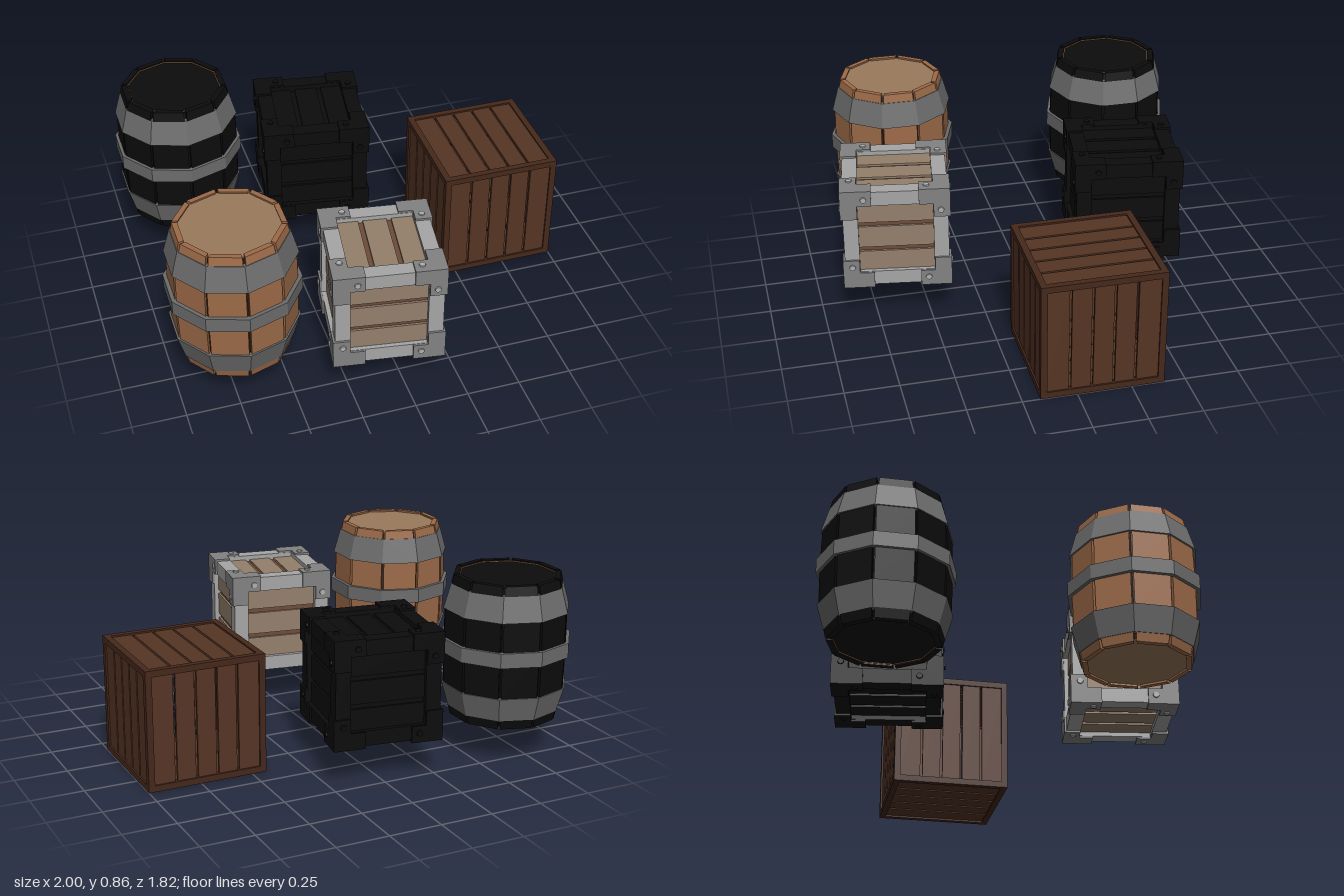
import * as THREE from 'three';

const mat = (color) => new THREE.MeshStandardMaterial({ color, flatShading: true });
const C = {
  stave: mat(0x9c6a48), lid: mat(0x9a7b5c), groove: mat(0x3a2418), band: mat(0x6c6c6c),
  board: mat(0x94806c), gap: mat(0x6e4c3a), rail: mat(0xa6a6a6), corner: mat(0x828282),
  bolt: mat(0xb0b0b0), slat: mat(0x563525), frame: mat(0x46281b), black: mat(0x0c0c0c),
};

function add(parent, name, geometry, material, x = 0, y = 0, z = 0) {
  const m = new THREE.Mesh(geometry, material);
  m.name = name;
  m.position.set(x, y, z);
  parent.add(m);
  return m;
}

const box = (w, h, d) => new THREE.BoxGeometry(w, h, d);

// Joins four-cornered cross-sections, listed from bottom to top, into a closed solid
function loft(sections) {
  const pos = [], idx = [], n = sections.length;
  sections.forEach((s) => s.forEach((p) => pos.push(...p)));
  for (let s = 0; s < n - 1; s++) {
    for (let k = 0; k < 4; k++) {
      const a = s * 4 + k, b = s * 4 + (k + 1) % 4;
      idx.push(a, b, b + 4, a, b + 4, a + 4);
    }
  }
  const t = (n - 1) * 4;
  idx.push(0, 2, 1, 0, 3, 2, t, t + 1, t + 2, t, t + 2, t + 3);
  const g = new THREE.BufferGeometry();
  g.setAttribute('position', new THREE.Float32BufferAttribute(pos, 3));
  g.setIndex(idx);
  const flat = g.toNonIndexed();
  flat.computeVertexNormals();
  return flat;
}

const SIDES = 10;
// Half-profile of the bulging staves: height, corner radius
const PROFILE = [[-0.34, 0.25], [-0.18, 0.287], [0, 0.291], [0.18, 0.287], [0.34, 0.25]];

const lathe = (pts) =>
  new THREE.LatheGeometry(pts.map(([r, y]) => new THREE.Vector2(r, y)), SIDES);

// Metal hoop between two heights with its own thickness
const hoop = (y0, r0, y1, r1, t = 0.025) =>
  lathe([[r0 - t, y0], [r0, y0], [r1, y1], [r1 - t, y1], [r0 - t, y0]]);

function barrel(name, dark) {
  const g = new THREE.Group();
  g.name = name;
  const staveMat = dark ? C.black : C.stave;
  const grow = dark ? 0.003 : 0;

  // Ten staves with narrow gaps at the corners
  for (let i = 0; i < SIDES; i++) {
    const a0 = (i / SIDES) * Math.PI * 2, a1 = ((i + 1) / SIDES) * Math.PI * 2;
    const at = (a, r, y, gap) => [
      Math.sin(a) * r + Math.cos(a) * gap, y, Math.cos(a) * r - Math.sin(a) * gap];
    add(g, 'stave', loft(PROFILE.map(([y, r]) => {
      const o = r + grow, n = r - 0.026;
      return [at(a0, o, y, 0.006), at(a1, o, y, -0.006), at(a1, n, y, -0.006), at(a0, n, y, 0.006)];
    })), staveMat);
  }

  // Dark core behind the gaps, and lids set slightly into both ends
  const core = PROFILE.map(([y, r]) => [r - 0.014, y * 0.96]);
  add(g, 'core', lathe(core), dark ? C.black : C.groove);
  for (const s of [-1, 1]) {
    add(g, 'lid', new THREE.CylinderGeometry(0.234, 0.234, 0.03, SIDES), dark ? C.black : C.lid, 0, s * 0.315, 0);
    if (dark) add(g, 'rimLine', hoop(-0.004, 0.228, 0.004, 0.228, 0.004), C.stave, 0, s * 0.329, 0);
  }

  // Two sloped hoops and the proud middle hoop
  add(g, 'upperHoop', hoop(0.18, 0.298, 0.3, 0.264), C.band);
  add(g, 'lowerHoop', hoop(-0.3, 0.264, -0.18, 0.298), C.band);
  add(g, 'middleHoop', hoop(-0.027, 0.31, 0.043, 0.31), C.band);
  return g;
}

// Runs build(face, isEnd) on six groups whose local +z points out of each cube side
function sixFaces(parent, build) {
  const q = Math.PI / 2;
  [[0, 0], [0, q], [0, 2 * q], [0, -q], [-q, 0], [q, 0]].forEach(([rx, ry], i) => {
    const f = new THREE.Group();
    f.name = 'side';
    f.rotation.set(rx, ry, 0);
    parent.add(f);
    build(f, i > 3);
  });
}

// Runs fn(axis, s, t) for the twelve cube edges
function twelveEdges(fn) {
  for (let axis = 0; axis < 3; axis++)
    for (const s of [-1, 1]) for (const t of [-1, 1]) fn(axis, s, t);
}

// Bar along an axis; u and v are its offsets on the other two axes
function bar(parent, name, material, axis, len, thick, along, u, v) {
  const size = [thick, thick, thick], p = [0, 0, 0];
  size[axis] = len;
  p[axis] = along;
  p[(axis + 1) % 3] = u;
  p[(axis + 2) % 3] = v;
  return add(parent, name, box(...size), material, ...p);
}

function reinforcedCrate(name, dark) {
  const g = new THREE.Group();
  g.name = name;
  const pick = (m) => (dark ? C.black : m);
  const H = 0.254;
  add(g, 'innerBox', box(0.425, 0.425, 0.425), pick(C.gap));

  // Rails along the edges, with metal arms wrapping every corner
  twelveEdges((axis, s, t) => {
    const r = H - 0.01 - 0.035;
    bar(g, 'edgeRail', pick(C.rail), axis, 0.44, 0.07, 0, s * r, t * r);
    const c = H - 0.039;
    for (const e of [-1, 1])
      bar(g, 'cornerArm', pick(C.corner), axis, 0.145, 0.078, e * (H - 0.0725), s * c, t * c);
  });

  // Three boards per side, and a bolt on each corner
  sixFaces(g, (f, isEnd) => {
    for (const k of [-1, 0, 1]) {
      const b = add(f, 'board', box(0.37, 0.108, 0.02), pick(C.board), isEnd ? k * 0.13 : 0, isEnd ? 0 : k * 0.13, 0.213);
      if (isEnd) b.rotation.z = Math.PI / 2;
    }
    for (let k = 0; k < 4; k++) {
      const a = k * Math.PI / 2, x = -0.145, y = 0.21;
      const bolt = add(f, 'bolt', new THREE.CylinderGeometry(0.014, 0.016, 0.01, 8), pick(C.bolt),
        x * Math.cos(a) - y * Math.sin(a), x * Math.sin(a) + y * Math.cos(a), H + 0.001);
      bolt.rotation.x = Math.PI / 2;
    }
  });
  if (dark) g.scale.setScalar(1.015);
  return g;
}

function slattedCrate() {
  const g = new THREE.Group();
  g.name = 'slattedCrate';
  const H = 0.285, T = 0.03;
  twelveEdges((axis, s, t) =>
    bar(g, 'frameBeam', C.frame, axis, 2 * H, T, 0, s * (H - T / 2), t * (H - T / 2)));
  // Five slats per side with open gaps; the outer two reach under the frame
  sixFaces(g, (f) => {
    for (let k = -2; k <= 2; k++) {
      const w = Math.abs(k) === 2 ? 0.105 : 0.089;
      add(f, 'slat', box(w, 0.52, 0.014), C.slat, k * 0.1 + Math.sign(k) * (w - 0.089) / 2, 0, H - 0.015);
    }
  });
  return g;
}

export function createModel() {
  const model = new THREE.Group();
  model.name = 'barrelsAndCrates';
  const place = (o, x, y, z, turn = 0) => {
    o.position.set(x, y, z);
    o.rotation.y = turn;
    model.add(o);
  };
  place(barrel('woodenBarrel', false), -0.705, 0.518, 0.52);
  place(barrel('blackBarrel', true), -0.705, 0.52, -0.605);
  place(reinforcedCrate('reinforcedCrate', false), -0.048, 0.433, 0.618, -0.15);
  place(reinforcedCrate('blackCrate', true), -0.05, 0.433, -0.502, -0.15);
  place(slattedCrate(), 0.715, 0.285, -0.117);
  return model;
}
